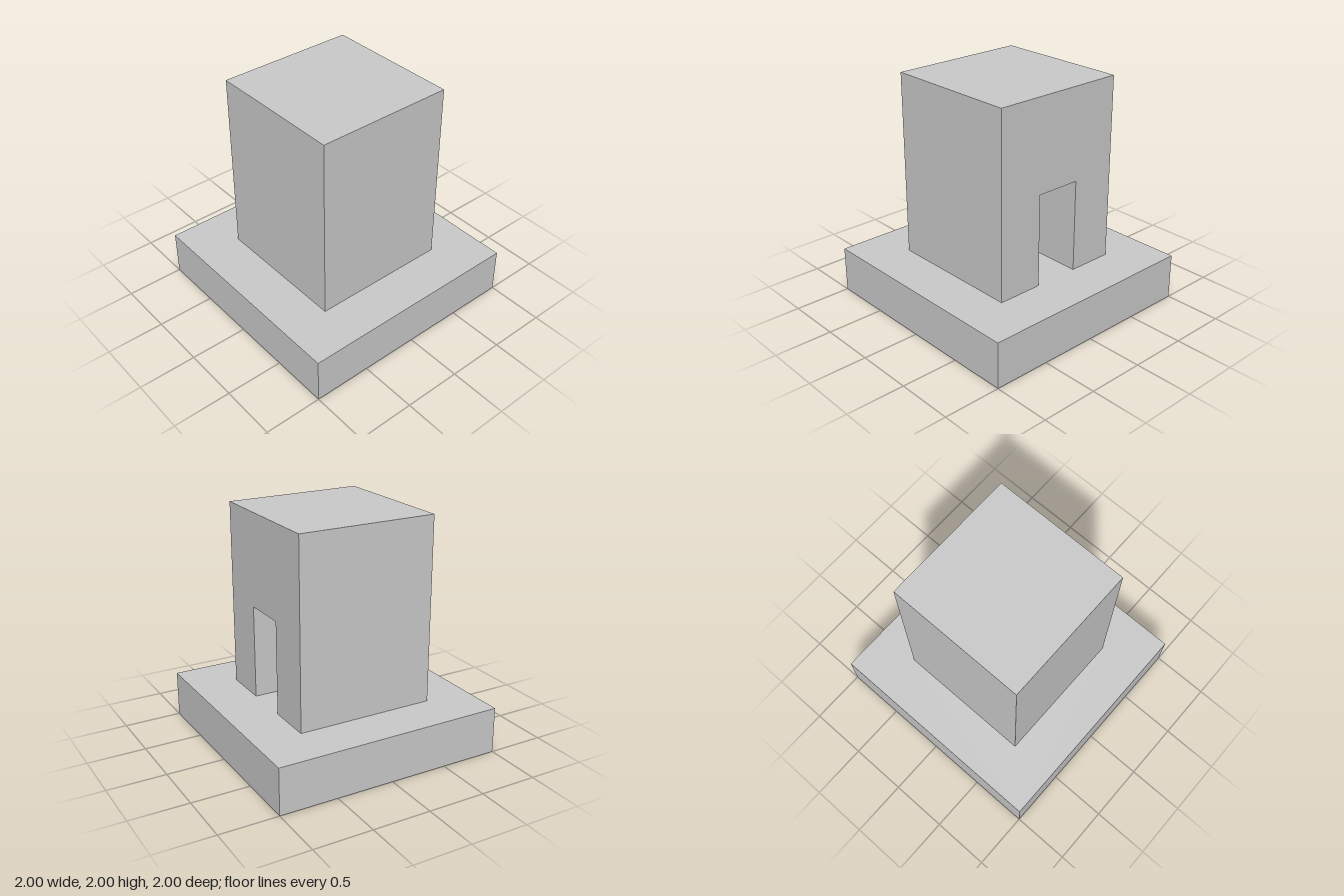
import * as THREE from 'three';

const H = Math.PI / 2;
const material = new THREE.MeshStandardMaterial({ color: 0xcccccc, flatShading: true });

// Flat outline from [x, y] corners
const outline = (pts) => new THREE.Shape(pts.map(([x, y]) => new THREE.Vector2(x, y)));
const rect = (x0, y0, x1, y1) => outline([[x0, y0], [x1, y0], [x1, y1], [x0, y1]]);

// One-sided flat panel, tilted about x and turned about y
function panel(group, name, shape, pos, rx = 0, ry = 0) {
  const mesh = new THREE.Mesh(new THREE.ShapeGeometry(shape), material);
  mesh.name = name;
  mesh.position.set(...pos);
  mesh.rotation.set(rx, ry, 0);
  group.add(mesh);
}

export function createModel() {
  const model = new THREE.Group();
  model.name = 'towerOnPlinth';
  const [base, tower, room] = ['base', 'tower', 'room'].map((name) => {
    const group = new THREE.Group();
    group.name = name;
    model.add(group);
    return group;
  });

  // Square plinth, its top open where the tower stands
  for (let i = 0; i < 4; i++) {
    const a = i * H;
    panel(base, 'baseSide', rect(-1, 0, 1, 0.4), [Math.sin(a), 0, Math.cos(a)], 0, a);
  }
  panel(base, 'baseBottom', rect(-1, -1, 1, 1), [0, 0, 0], H);
  const ledge = rect(-1, -1, 1, 1);
  ledge.holes.push(rect(-0.6, -0.6, 0.6, 0.6));
  panel(base, 'baseLedge', ledge, [0, 0.4, 0], -H);

  // Tower shell, the back wall (i = 2) notched by the doorway
  const doorWall = outline([[-0.6, 0.4], [-0.2, 0.4], [-0.2, 1.2], [0.2, 1.2],
    [0.2, 0.4], [0.6, 0.4], [0.6, 2], [-0.6, 2]]);
  for (let i = 0; i < 4; i++) {
    const a = i * H;
    panel(tower, i === 2 ? 'doorWall' : 'towerWall', i === 2 ? doorWall : rect(-0.6, 0.4, 0.6, 2),
      [0.6 * Math.sin(a), 0, 0.6 * Math.cos(a)], 0, a);
  }
  panel(tower, 'roof', rect(-0.6, -0.6, 0.6, 0.6), [0, 2, 0], -H);

  // Passage and taller inner room, flush along both sides
  for (const s of [1, -1]) {
    const side = outline([[-0.6, 0.4], [0.2, 0.4], [0.2, 1.6], [-0.2, 1.6], [-0.2, 1.2], [-0.6, 1.2]]
      .map(([z, y]) => [s * z, y]));
    panel(room, 'roomSide', side, [0.2 * s, 0, 0], 0, -s * H);
  }
  panel(room, 'roomFloor', rect(-0.2, -0.2, 0.2, 0.6), [0, 0.4, 0], -H);
  panel(room, 'roomEndWall', rect(-0.2, 0.4, 0.2, 1.6), [0, 0, 0.2], 0, Math.PI);
  panel(room, 'wallAboveDoor', rect(-0.2, 1.2, 0.2, 1.6), [0, 0, -0.2]);
  panel(room, 'doorLintel', rect(-0.2, -0.6, 0.2, -0.2), [0, 1.2, 0], H);
  panel(room, 'roomCeiling', rect(-0.2, -0.2, 0.2, 0.2), [0, 1.6, 0], H);

  return model;
}
